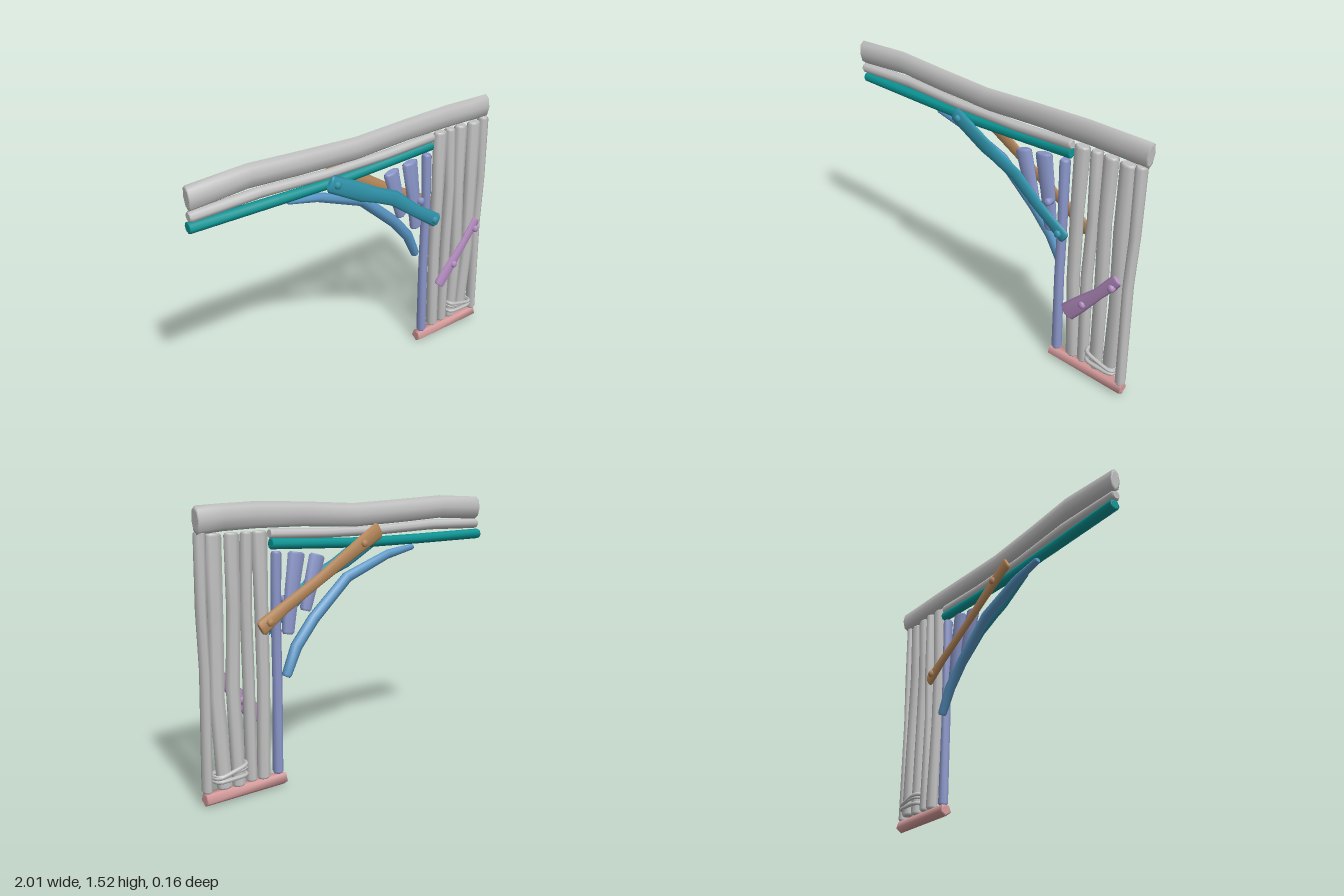
import * as THREE from 'three';

const mat = (name, color) => {
  const m = new THREE.MeshStandardMaterial({ color });
  m.name = name;
  return m;
};

// Log with elliptical rings along a spine of [x, y, z, halfWidth, halfDepth], chamfered and capped at both ends
function logGeometry(spine, sides = 8, chamfer = 0.012, turn = 0) {
  const n = spine.length;
  const tangent = (i) => {
    const a = spine[Math.max(i - 1, 0)], b = spine[Math.min(i + 1, n - 1)];
    return new THREE.Vector2(b[0] - a[0], b[1] - a[1]).normalize();
  };
  const rings = [];
  const addRing = (i, shift, scale) => {
    const [x, y, z, w, d] = spine[i], t = tangent(i), ring = [];
    for (let k = 0; k < sides; k++) {
      const a = turn + (k / sides) * Math.PI * 2;
      const u = Math.cos(a) * w * scale;
      ring.push([x + t.x * shift - t.y * u, y + t.y * shift + t.x * u, z + Math.sin(a) * d * scale]);
    }
    rings.push(ring);
  };
  addRing(0, 0, 0.75);
  addRing(0, chamfer, 1);
  for (let i = 1; i < n - 1; i++) addRing(i, 0, 1);
  addRing(n - 1, -chamfer, 1);
  addRing(n - 1, 0, 0.75);

  const pos = rings.flat(2), idx = [];
  for (let r = 0; r < rings.length - 1; r++) {
    for (let k = 0; k < sides; k++) {
      const k2 = (k + 1) % sides;
      const a = r * sides + k, b = r * sides + k2, c = a + sides, d = b + sides;
      idx.push(a, b, c, b, d, c);
    }
  }
  // End caps use their own vertices so their rims stay sharp
  [rings[0], rings[rings.length - 1]].forEach((ring, e) => {
    const s = pos.length / 3;
    pos.push(...ring.flat());
    for (let k = 1; k < sides - 1; k++) {
      if (e === 0) idx.push(s, s + k + 1, s + k);
      else idx.push(s, s + k, s + k + 1);
    }
  });
  const g = new THREE.BufferGeometry();
  g.setAttribute('position', new THREE.Float32BufferAttribute(pos, 3));
  g.setIndex(idx);
  g.computeVertexNormals();
  return g;
}

export function createModel() {
  const model = new THREE.Group();
  model.name = 'timberFrame';
  const grey = mat('weathered grey', 0xc2c2c2);
  const teal = mat('teal', 0x0a9494);
  const lagoon = mat('lagoon blue', 0x3094ac);
  const blue = mat('steel blue', 0x5a97c6);
  const violet = mat('periwinkle', 0x8c98cc);
  const tan = mat('tan', 0xb98a5c);
  const purple = mat('mauve', 0xb48cc0);
  const pink = mat('dusty pink', 0xd49a9a);

  const add = (name, geometry, material) => {
    const m = new THREE.Mesh(geometry, material);
    m.name = name;
    model.add(m);
    return m;
  };
  const log = (name, material, spine, ...opts) => add(name, logGeometry(spine, ...opts), material);

  // Wooden peg: shaft with a domed hexagonal head facing front (dir 1) or back (dir -1)
  const peg = (name, material, x, y, z, dir) => {
    const profile = [[0, -0.03], [0.021, -0.03], [0.021, 0], [0.022, 0.012], [0.013, 0.02], [0, 0.021]];
    const g = new THREE.LatheGeometry(profile.map((p) => new THREE.Vector2(...p)), 7);
    g.rotateX((dir * Math.PI) / 2);
    add(name, g, material).position.set(x, y, z);
  };

  // Roof beam and the rails under it
  log('topBeam', grey, [
    [-1, 1.425, 0, 0.068, 0.034], [-0.66, 1.444, -0.008, 0.066, 0.042], [-0.35, 1.432, -0.004, 0.066, 0.038],
    [0, 1.422, -0.003, 0.064, 0.034], [0.35, 1.442, -0.002, 0.064, 0.03], [0.66, 1.45, -0.006, 0.067, 0.032],
    [0.85, 1.446, -0.012, 0.067, 0.036], [1, 1.438, -0.022, 0.07, 0.038]], 8, 0.004);
  log('innerRail', grey, [
    [-1, 1.33, 0, 0.03, 0.03], [-0.6, 1.342, -0.004, 0.03, 0.03], [-0.2, 1.33, 0, 0.026, 0.028],
    [0.2, 1.335, 0, 0.026, 0.028], [0.565, 1.352, -0.004, 0.028, 0.028]]);
  log('lowerRail', teal, [
    [-1, 1.267, -0.015, 0.03, 0.033], [-0.5, 1.266, -0.012, 0.029, 0.032], [-0.1, 1.268, -0.008, 0.028, 0.03],
    [0.25, 1.284, -0.008, 0.028, 0.028], [0.56, 1.302, -0.008, 0.03, 0.028]], 8, 0.003);

  // Wall posts: [top, upper middle, lower middle, bottom] as [x, y, z, halfWidth]
  const posts = [
    [[0.626, 1.37, -0.005, 0.046], [0.62, 1.0, 0, 0.038], [0.618, 0.6, -0.004, 0.036], [0.636, 0.07, -0.012, 0.037]],
    [[0.708, 1.37, -0.012, 0.032], [0.718, 1.0, -0.005, 0.031], [0.708, 0.65, 0, 0.031], [0.712, 0.075, -0.01, 0.032]],
    [[0.794, 1.37, -0.01, 0.043], [0.79, 1.0, -0.004, 0.037], [0.803, 0.6, 0, 0.039], [0.794, 0.07, -0.016, 0.038]],
    [[0.895, 1.37, -0.004, 0.047], [0.892, 1.0, 0, 0.044], [0.9, 0.55, -0.004, 0.042], [0.882, 0.08, -0.022, 0.044]],
    [[0.968, 1.385, -0.003, 0.031], [0.972, 1.0, 0, 0.027], [0.962, 0.7, 0, 0.026], [0.973, 0.07, 0, 0.026]],
  ];
  posts.forEach((p, i) =>
    log(`wallPost${i + 1}`, grey, p.map(([x, y, z, w]) => [x, y, z, w, 0.034])));
  log('cornerPost', violet, [
    [0.524, 1.26, -0.004, 0.028, 0.03], [0.53, 0.95, 0, 0.025, 0.029],
    [0.527, 0.55, 0, 0.026, 0.028], [0.534, 0.07, 0, 0.028, 0.03]]);

  // Base sill with a five-sided section
  log('baseSill', pink, [[0.495, 0.037, -0.004, 0.037, 0.038], [0.99, 0.037, -0.004, 0.037, 0.038]], 5, 0.004, Math.PI);

  // Bindings wrapped around two posts
  [[0.188, 0.142], [0.13, 0.125], [0.165, 0.152]].forEach(([left, right], i) => {
    const pts = [];
    for (let k = 0; k < 12; k++) {
      const a = (k / 12) * Math.PI * 2, c = Math.cos(a), s = Math.sin(a);
      const x = 0.845 + 0.092 * Math.sign(c) * Math.sqrt(Math.abs(c));
      const z = -0.008 + 0.046 * Math.sign(s) * Math.sqrt(Math.abs(s));
      pts.push(new THREE.Vector3(x, THREE.MathUtils.lerp(left, right, (x - 0.753) / 0.184), z));
    }
    const curve = new THREE.CatmullRomCurve3(pts, true);
    add(`binding${i + 1}`, new THREE.TubeGeometry(curve, 28, i === 2 ? 0.008 : 0.012, 6, true), grey);
  });

  // Short struts between corner post and braces
  log('shortStrut', violet, [
    [0.253, 1.225, 0, 0.054, 0.028], [0.295, 1.08, 0, 0.046, 0.028], [0.338, 0.93, 0, 0.036, 0.026]]);
  log('longStrut', violet, [
    [0.39, 1.248, 0, 0.056, 0.028], [0.425, 1.04, 0, 0.046, 0.028], [0.455, 0.82, 0, 0.04, 0.026]]);
  peg('strutPeg', violet, 0.456, 1.0, 0.03, 1);

  // Curved arch brace, set towards the back
  log('archBrace', blue, [
    [-0.415, 1.226, -0.038, 0.018, 0.02], [-0.22, 1.194, -0.036, 0.027, 0.024], [0.075, 1.09, -0.034, 0.033, 0.028],
    [0.31, 0.89, -0.036, 0.034, 0.03], [0.43, 0.755, -0.04, 0.034, 0.03], [0.503, 0.605, -0.045, 0.027, 0.027]]);

  // Front brace
  log('frontBrace', lagoon, [
    [-0.205, 1.297, 0.045, 0.05, 0.017], [0.02, 1.18, 0.046, 0.052, 0.019], [0.1, 1.145, 0.046, 0.044, 0.018],
    [0.24, 1.085, 0.045, 0.045, 0.018], [0.4, 0.962, 0.045, 0.037, 0.017], [0.587, 0.838, 0.045, 0.042, 0.017]]);
  peg('frontBracePegTop', lagoon, -0.165, 1.28, 0.056, 1);
  peg('frontBracePegLow', lagoon, 0.55, 0.86, 0.056, 1);

  // Back brace
  log('backBrace', tan, [
    [-0.15, 1.338, -0.049, 0.05, 0.015], [0.02, 1.245, -0.048, 0.043, 0.014], [0.27, 1.1, -0.047, 0.033, 0.013],
    [0.5, 0.975, -0.047, 0.035, 0.014], [0.66, 0.878, -0.048, 0.046, 0.015]]);
  peg('backBracePegTop', tan, -0.025, 1.27, -0.058, -1);
  peg('backBracePegLow', tan, 0.61, 0.91, -0.058, -1);

  // Wall handle
  log('wallHandle', purple, [
    [0.62, 0.385, 0.048, 0.05, 0.016], [0.7, 0.475, 0.048, 0.046, 0.015],
    [0.82, 0.61, 0.046, 0.031, 0.014], [0.925, 0.745, 0.045, 0.034, 0.014]]);
  peg('handlePegLow', purple, 0.732, 0.5, 0.056, 1);
  peg('handlePegTop', purple, 0.903, 0.69, 0.056, 1);

  return model;
}
